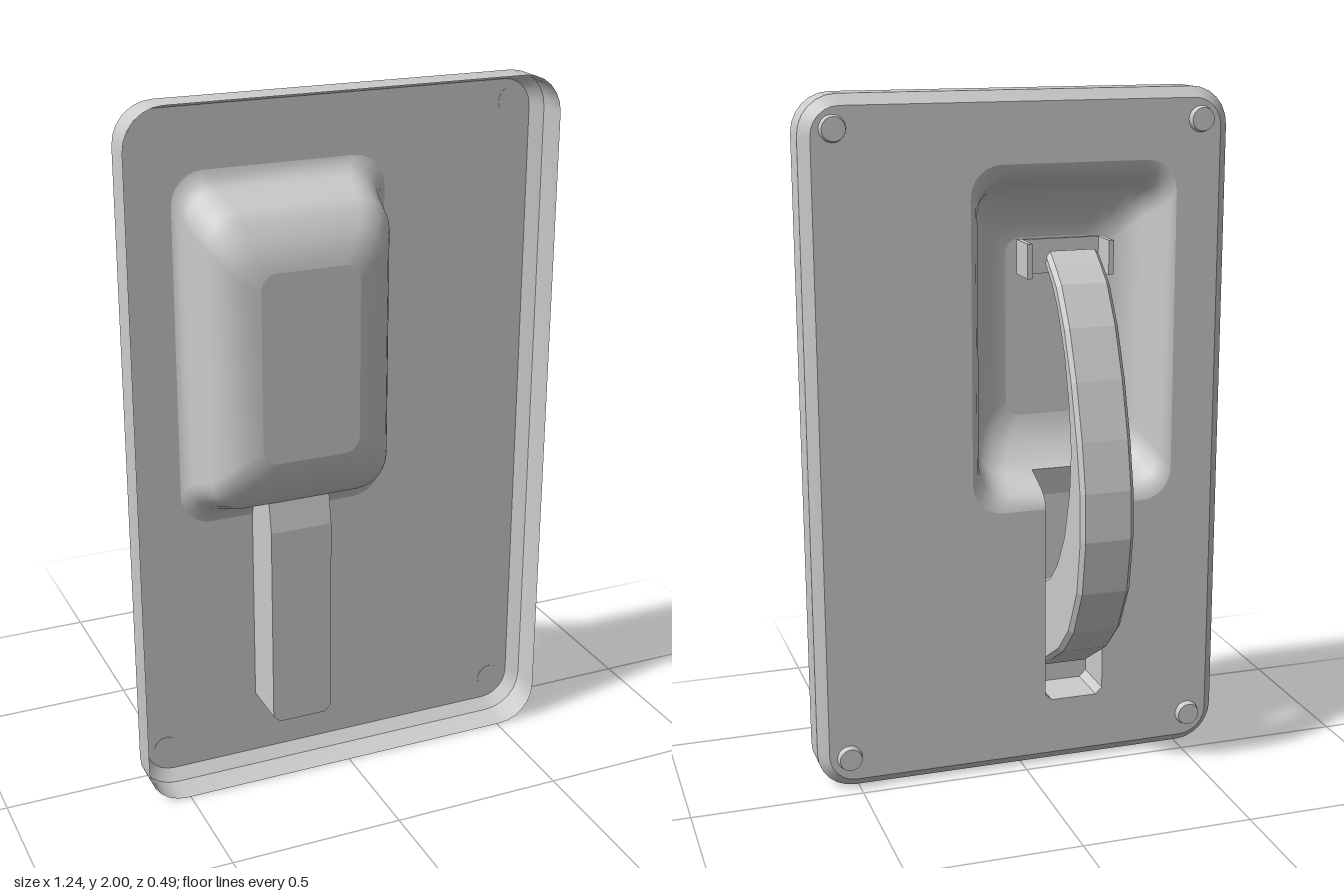
import * as THREE from 'three';
import { toCreasedNormals } from 'three/addons/utils/BufferGeometryUtils.js';

const mat = new THREE.MeshStandardMaterial({ color: 0xcccccc, side: THREE.DoubleSide });
const BACK = 0.035, CHAN_Z = 0.18;      // back sheet plane, channel front plane
const XL = -0.25, XR = -0.07;           // channel sides
const PX = -0.155, PY = 1.3, PHX = 0.305, PHY = 0.5; // pocket centre and half sizes

function mesh(name, geo, parent) {
  const m = new THREE.Mesh(geo, mat);
  m.name = name;
  parent.add(m);
  return m;
}

// Rounded rectangle as [x, y, z] points, counterclockwise from the bottom edge
function ring(cx, cy, hx, hy, r, z, gap) {
  const pts = [], n = 6;
  if (gap) pts.push([XR, cy - hy, z]);
  [[1, -1], [1, 1], [-1, 1], [-1, -1]].forEach(([sx, sy], c) => {
    for (let i = 0; i <= n; i++) {
      const a = (c - 1 + i / n) * Math.PI / 2;
      pts.push([cx + sx * (hx - r) + r * Math.cos(a), cy + sy * (hy - r) + r * Math.sin(a), z]);
    }
  });
  if (gap) pts.push([XL, cy - hy, z]);
  return pts;
}

// Skin over rows of points; rows from closedFrom upward also wrap around
function loft(rows, closedFrom = 0) {
  const n = rows[0].length, index = [];
  for (let j = 0; j < rows.length - 1; j++) {
    for (let i = 0; i < (j >= closedFrom ? n : n - 1); i++) {
      const a = j * n + i, b = j * n + (i + 1) % n;
      index.push(a, b, b + n, a, b + n, a + n);
    }
  }
  const g = new THREE.BufferGeometry();
  g.setAttribute('position', new THREE.Float32BufferAttribute(rows.flat(2), 3));
  g.setIndex(index);
  g.computeVertexNormals();
  return g;
}

const shapeOf = (pts) => new THREE.Shape(pts.map(([x, y]) => new THREE.Vector2(x, y)));

export function createModel() {
  const model = new THREE.Group();

  // Pocket cross-sections: inset x, inset y, depth z, corner radius
  const pocketRows = [
    [0, 0, BACK, 0.09], [0.015, 0.025, 0.042, 0.09], [0.027, 0.045, 0.065, 0.09],
    [0.035, 0.065, 0.11, 0.09], [0.045, 0.085, 0.165, 0.09], [0.06, 0.11, 0.19, 0.085],
    [0.085, 0.15, 0.22, 0.075], [0.125, 0.195, 0.24, 0.06], [0.165, 0.235, 0.247, 0.045],
  ].map(([ix, iy, z, r]) => ring(PX, PY, PHX - ix, PHY - iy, r, z, true));
  const joinRow = 4; // the channel opens into the pocket below this row

  // Tray: rim wall, chamfer and back sheet with the pocket opening
  const tray = new THREE.Group();
  tray.name = 'tray';
  model.add(tray);
  const rim = [
    ring(0, 1, 0.62, 1, 0.11, 0.155),
    ring(0, 1, 0.62, 1, 0.11, 0.065),
    ring(0, 1, 0.59, 0.97, 0.08, BACK),
  ];
  mesh('rim', toCreasedNormals(loft(rim), 0.5), tray);
  const chanFoot = [[XL, 0.22], [XL + 0.02, 0.2], [XR - 0.02, 0.2], [XR, 0.22]];
  const sheet = shapeOf(rim[2]);
  sheet.holes.push(shapeOf([...pocketRows[0], ...chanFoot]));
  mesh('backSheet', new THREE.ShapeGeometry(sheet), tray).position.z = BACK;

  // Pocket bulging to the front
  mesh('pocketWall', loft(pocketRows, joinRow), tray);
  const top = pocketRows[pocketRows.length - 1];
  mesh('pocketFace', new THREE.ShapeGeometry(shapeOf(top)), tray).position.z = top[0][2];

  // Channel below the pocket
  const channel = new THREE.Group();
  channel.name = 'channel';
  tray.add(channel);
  const joinY = pocketRows[joinRow][0][1], joinZ = pocketRows[joinRow][0][2];
  const front = shapeOf([...chanFoot, [XR, 0.8], [XL, 0.8]]);
  mesh('channelFront', new THREE.ShapeGeometry(front), channel).position.z = CHAN_Z;
  mesh('channelSlope', loft([
    [[XL, 0.8, CHAN_Z], [XR, 0.8, CHAN_Z]],
    [[XL, joinY, joinZ], [XR, joinY, joinZ]],
  ], 9), channel);
  mesh('channelEnd', toCreasedNormals(loft([
    chanFoot.map(([x, y]) => [x, y, BACK]),
    chanFoot.map(([x, y]) => [x, y, CHAN_Z]),
  ], 9), 0.3), channel);
  const side = shapeOf([
    [BACK, 0.22], [CHAN_Z, 0.22], [CHAN_Z, 0.8],
    ...pocketRows.slice(0, joinRow + 1).reverse().map((row) => [row[0][2], row[0][1]]),
  ]);
  for (const x of [XL, XR]) {
    const m = mesh('channelSide', new THREE.ShapeGeometry(side), channel);
    m.rotation.y = -Math.PI / 2;
    m.position.x = x;
  }

  // Crescent lever handle, profile in (z, y)
  const crescent = shapeOf([
    [0.07, 1.55], [0.03, 1.52], [-0.03, 1.47], [-0.1, 1.36], [-0.16, 1.22], [-0.21, 1.06],
    [-0.24, 0.92], [-0.245, 0.78], [-0.22, 0.62], [-0.15, 0.48], [-0.06, 0.39], [0.03, 0.335],
    [0.12, 0.28], [0.12, 0.55], [0.03, 0.6], [-0.03, 0.66], [-0.09, 0.76], [-0.13, 0.9],
    [-0.14, 1.02], [-0.12, 1.15], [-0.08, 1.28], [-0.02, 1.4], [0.03, 1.46], [0.09, 1.51],
  ]);
  const handle = mesh('handle', new THREE.ExtrudeGeometry(crescent, {
    depth: 0.134, bevelThickness: 0.012, bevelSize: 0.012, bevelOffset: -0.012, bevelSegments: 1,
  }), model);
  handle.rotation.y = -Math.PI / 2;
  handle.position.x = -0.092;

  // U-shaped catch inside the pocket
  const catchGroup = new THREE.Group();
  catchGroup.name = 'catch';
  model.add(catchGroup);
  mesh('catchPlate', new THREE.BoxGeometry(0.26, 0.1, 0.015), catchGroup).position.set(-0.16, 1.52, 0.18);
  for (const s of [-1, 1]) {
    mesh('catchArm', new THREE.BoxGeometry(0.015, 0.1, 0.1), catchGroup)
      .position.set(-0.16 + s * 0.1225, 1.52, 0.135);
  }

  // Four round feet on the back
  for (const x of [-0.53, 0.53]) {
    for (const y of [0.1, 1.91]) {
      const foot = mesh('foot', toCreasedNormals(new THREE.CylinderGeometry(0.038, 0.033, 0.02, 20), 0.6), model);
      foot.rotation.x = Math.PI / 2;
      foot.position.set(x, y, 0.027);
    }
  }
  return model;
}
